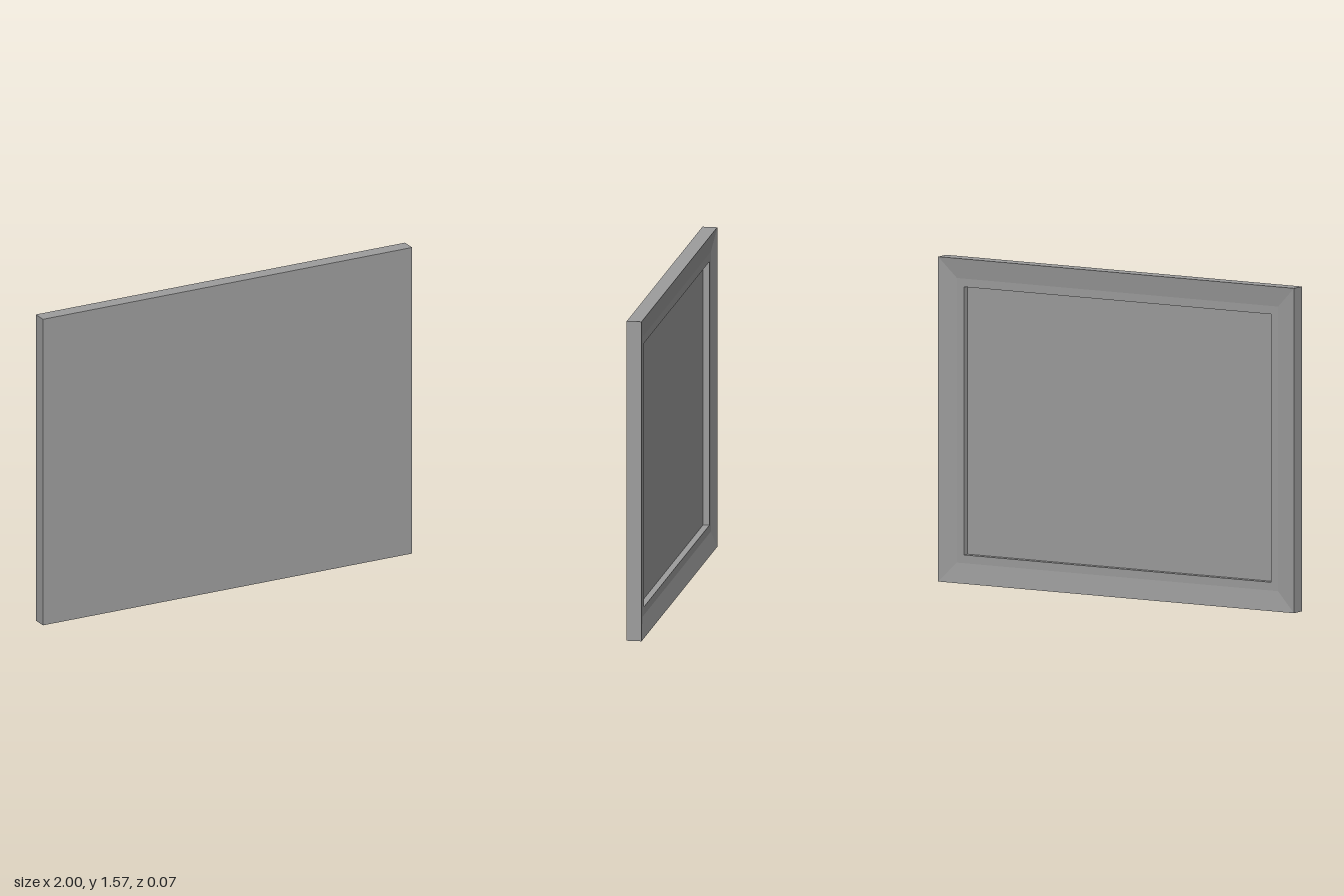
import * as THREE from 'three';

const W = 2, H = 1.566, HALF_DEPTH = 0.036;
const BORDER = 0.137;   // width of the frame border
const BEVEL = 0.097;    // width of the sloping rim
const LIP = -0.023;     // z of the inner flat of the border
const PANEL_Z = 0.008;  // z of the recessed panel face

// Sweeps a closed [inset, z] profile round the rectangle, with mitred corners
function mitredFrame(profile) {
  const corners = [[1, -1], [1, 1], [-1, 1], [-1, -1]];
  const at = ([sx, sy], [d, z]) => [sx * (W / 2 - d), H / 2 + sy * (H / 2 - d), z];
  const pos = [];
  corners.forEach((a, k) => {
    const b = corners[(k + 1) % 4];
    profile.forEach((p, j) => {
      const q = profile[(j + 1) % profile.length];
      const [a0, a1, b1, b0] = [at(a, p), at(a, q), at(b, q), at(b, p)];
      pos.push(...a0, ...a1, ...b1, ...a0, ...b1, ...b0);
    });
  });
  const geo = new THREE.BufferGeometry();
  geo.setAttribute('position', new THREE.Float32BufferAttribute(pos, 3));
  geo.computeVertexNormals();
  return geo;
}

export function createModel() {
  const group = new THREE.Group();
  group.name = 'framedPanel';
  const material = new THREE.MeshStandardMaterial({ color: 0x9c9c9c });

  // Border: square outside, back rim sloping inward, flat lip, step down to the panel
  const frame = new THREE.Mesh(mitredFrame([
    [0, HALF_DEPTH], [0, -HALF_DEPTH], [BEVEL, LIP], [BORDER, LIP], [BORDER, HALF_DEPTH],
  ]), material);
  frame.name = 'frame';
  group.add(frame);

  // Panel filling the opening, flush with the frame at the front
  const panel = new THREE.Mesh(
    new THREE.BoxGeometry(W - 2 * BORDER, H - 2 * BORDER, HALF_DEPTH - PANEL_Z), material);
  panel.position.set(0, H / 2, (HALF_DEPTH + PANEL_Z) / 2);
  panel.name = 'panel';
  group.add(panel);

  return group;
}
